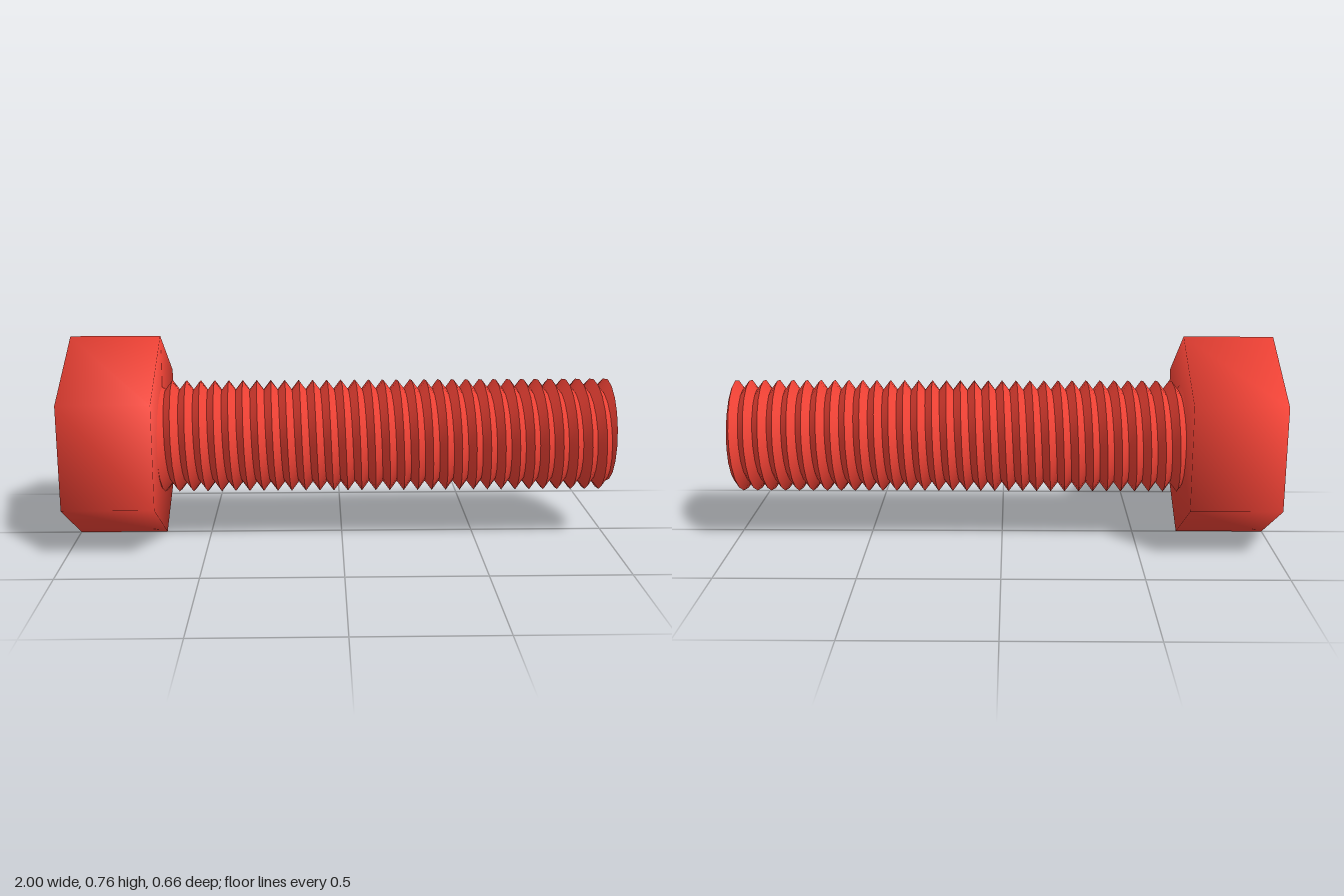
import * as THREE from 'three';
import { mergeVertices, toCreasedNormals } from 'three/addons/utils/BufferGeometryUtils.js';

const AXIS_Y = 0.38, HEAD_R = 0.38, HEAD_END = -0.67, TIP = 1;
const PITCH = 0.0527, ROOT_R = 0.175, CREST_R = 0.21, SIDES = 20;

// Hexagonal head, its corners shared so the shading runs softly over the edges
function headGeometry() {
  const length = HEAD_END + 1;
  const g = new THREE.CylinderGeometry(HEAD_R, HEAD_R, length, 6);
  g.rotateZ(-Math.PI / 2).rotateX(Math.PI / 2);
  g.translate(-1 + length / 2, 0, 0);
  g.deleteAttribute('normal');
  g.deleteAttribute('uv');
  const merged = mergeVertices(g, 1e-4);
  merged.computeVertexNormals();
  return merged;
}

// Point of the V-shaped helical thread; half counts half pitches back from the tip
function threadPoint(half, side) {
  const turn = side / SIDES;
  const x = THREE.MathUtils.clamp(TIP + PITCH * (turn - half / 2), HEAD_END, TIP);
  const phase = THREE.MathUtils.euclideanModulo((x - TIP) / PITCH - turn, 1);
  const r = ROOT_R + (CREST_R - ROOT_R) * Math.abs(1 - 2 * phase);
  const a = turn * Math.PI * 2;
  return new THREE.Vector3(x, r * Math.cos(a), r * Math.sin(a));
}

// Hollow threaded sleeve, cut square at both ends
function shaftGeometry() {
  const positions = [];
  const addTriangle = (...corners) => {
    if (new THREE.Triangle(...corners).getArea() < 1e-8) return;
    corners.forEach((p) => positions.push(p.x, p.y, p.z));
  };
  const halves = Math.ceil((TIP - HEAD_END) / PITCH + 1) * 2;
  for (let h = 0; h < halves; h++) {
    for (let s = 0; s < SIDES; s++) {
      const a = threadPoint(h, s), b = threadPoint(h, s + 1);
      const c = threadPoint(h + 1, s + 1), d = threadPoint(h + 1, s);
      addTriangle(a, b, c);
      addTriangle(a, c, d);
    }
  }
  const g = new THREE.BufferGeometry();
  g.setAttribute('position', new THREE.Float32BufferAttribute(positions, 3));
  return toCreasedNormals(g, Math.PI / 4);
}

export function createModel() {
  const group = new THREE.Group();
  group.name = 'bolt';
  const color = 0xf44336;
  const parts = [
    ['hexHead', headGeometry(), new THREE.MeshStandardMaterial({ color })],
    ['threadedShaft', shaftGeometry(), new THREE.MeshStandardMaterial({ color, side: THREE.DoubleSide })],
  ];
  for (const [name, geometry, material] of parts) {
    const mesh = new THREE.Mesh(geometry, material);
    mesh.name = name;
    mesh.position.y = AXIS_Y;
    group.add(mesh);
  }
  return group;
}
